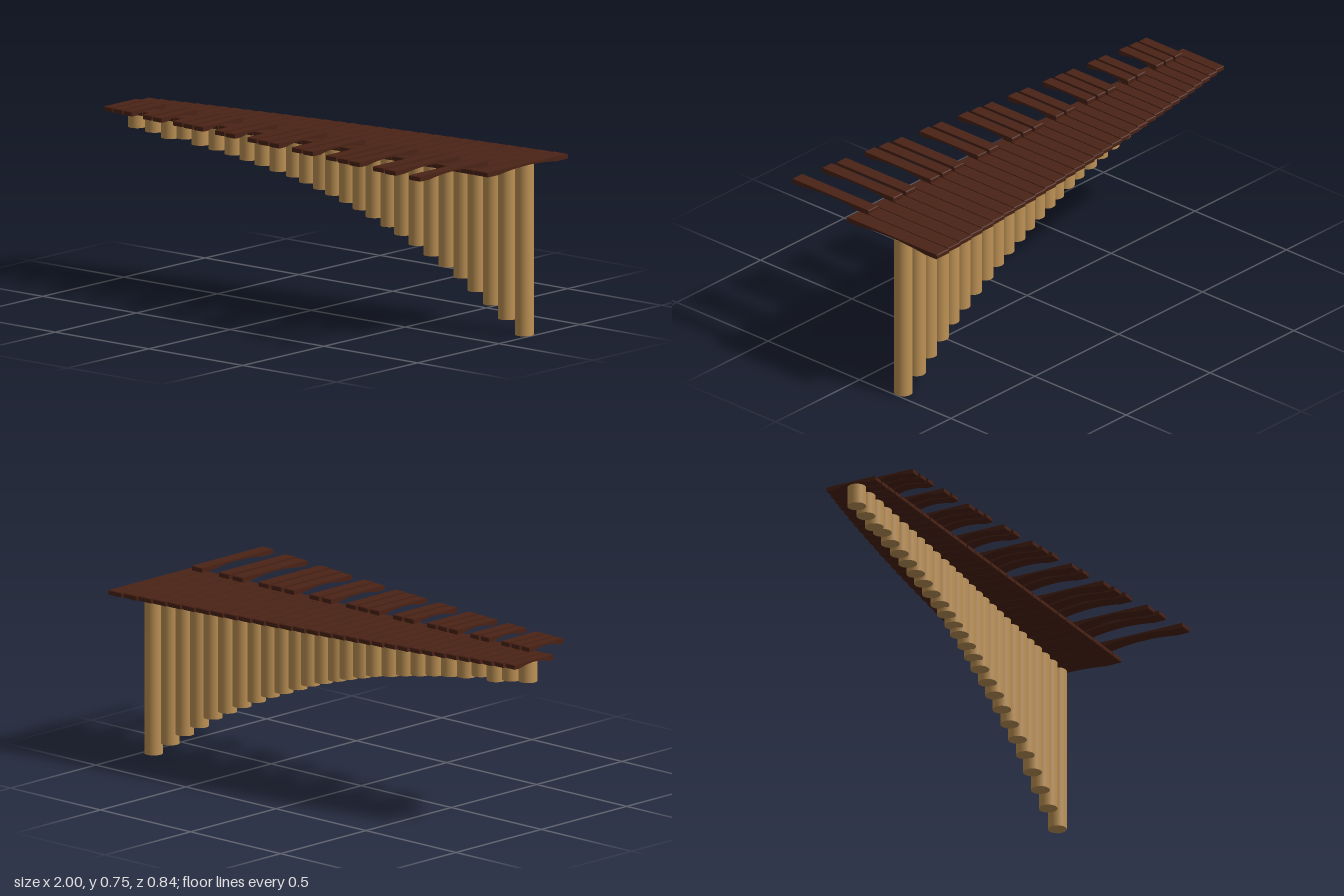
import * as THREE from 'three';

const barMaterial = new THREE.MeshStandardMaterial({ color: 0x4a2215 });
const tubeMaterial = new THREE.MeshStandardMaterial({ color: 0xbe9255 });
const lerp = THREE.MathUtils.lerp;

// Tuned bar: flat top, chamfered ends and an arch cut in the underside
function makeBar(name, x, y, zBack, zFront, width) {
  const half = (zFront - zBack) / 2, h = 0.02, c = 0.003;
  const arch = half * 0.72, rise = 0.012;
  const s = new THREE.Shape();
  s.moveTo(-half + c, 0);
  s.lineTo(-arch, 0);
  for (let i = 1; i <= 16; i++) {
    const u = -1 + i / 8;
    s.lineTo(u * arch, rise * (1 - u * u));
  }
  s.lineTo(half - c, 0);
  s.lineTo(half, c);
  s.lineTo(half, h - c);
  s.lineTo(half - c, h);
  s.lineTo(-half + c, h);
  s.lineTo(-half, h - c);
  s.lineTo(-half, c);
  s.closePath();
  const geo = new THREE.ExtrudeGeometry(s, { depth: width, bevelEnabled: false });
  geo.translate(0, 0, -width / 2);
  geo.rotateY(-Math.PI / 2); // profile length runs along z
  const bar = new THREE.Mesh(geo, barMaterial);
  bar.name = name;
  bar.position.set(x, y, (zBack + zFront) / 2);
  return bar;
}

export function createModel() {
  const model = new THREE.Group();
  model.name = 'marimba';

  // Natural bars, from the short treble end (-x) to the long bass end (+x)
  const naturals = new THREE.Group();
  naturals.name = 'naturalBars';
  const count = 31, centers = [];
  let x = -0.9765;
  for (let i = 0; i < count; i++) {
    const t = i / (count - 1);
    centers.push(x);
    const zBack = -lerp(0.158, 0.424, t) - 0.064 * t * (1 - t);
    naturals.add(makeBar('naturalBar', x, 0.695, zBack, 0.07, lerp(0.047, 0.072, t)));
    x += lerp(0.0537, 0.0757, i / (count - 2));
  }
  model.add(naturals);

  // Raised bars in groups of three and two, sitting between the naturals
  const accidentals = new THREE.Group();
  accidentals.name = 'accidentalBars';
  for (let i = 1; i < count - 1; i++) {
    const step = i % 7;
    if (step === 0 || step === 4) continue; // no raised bar at these gaps
    const ax = (centers[i] + centers[i + 1]) / 2 - 0.012;
    const zFront = 0.292 + 0.119 * ax + 0.0235 * ax * ax;
    accidentals.add(makeBar('accidentalBar', ax, 0.725, 0.003, zFront, lerp(0.043, 0.058, i / count)));
  }
  model.add(accidentals);

  // Resonator tubes hanging below the naturals
  const tubes = new THREE.Group();
  tubes.name = 'resonatorTubes';
  const tubeX = [-0.962, -0.876, -0.797, -0.72, -0.645, -0.56, -0.48, -0.404, -0.33, -0.255, -0.174, -0.11, -0.04, 0.018,
    0.088, 0.155, 0.218, 0.291, 0.36, 0.43, 0.505, 0.58, 0.654, 0.724, 0.8, 0.874, 0.96];
  const tubeBottom = [0.62, 0.612, 0.596, 0.604, 0.587, 0.578, 0.568, 0.555, 0.543, 0.528, 0.515, 0.498, 0.48, 0.463,
    0.442, 0.42, 0.395, 0.367, 0.34, 0.307, 0.273, 0.237, 0.2, 0.153, 0.107, 0.056, 0];
  const top = 0.703, radius = 0.038;
  tubeX.forEach((tx, i) => {
    const length = top - tubeBottom[i];
    const tube = new THREE.Mesh(new THREE.CylinderGeometry(radius, radius, length, 32), tubeMaterial);
    tube.name = 'resonatorTube';
    tube.position.set(tx, top - length / 2, lerp(-0.038, -0.203, i / (tubeX.length - 1)));
    tubes.add(tube);
  });
  model.add(tubes);

  return model;
}
